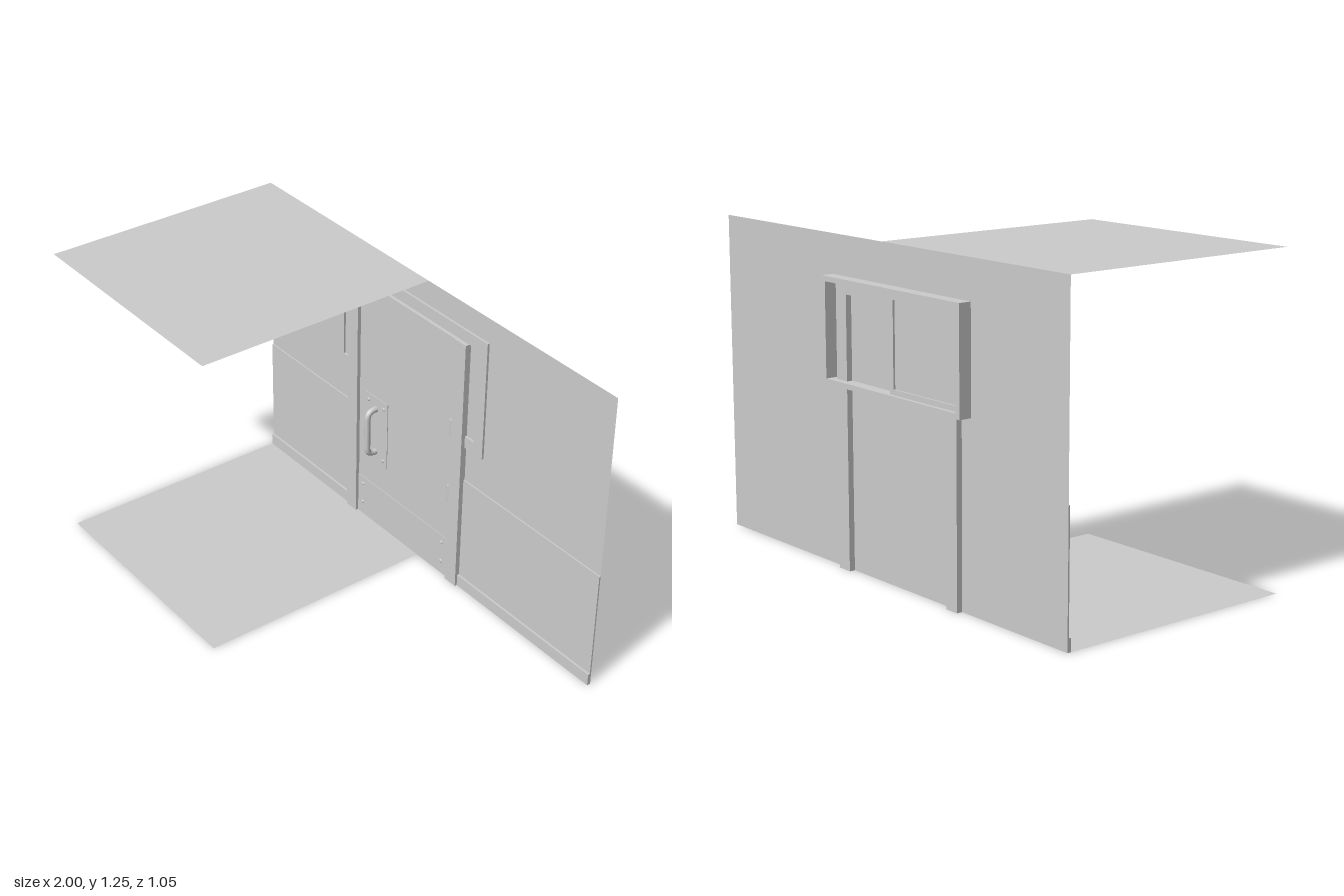
import * as THREE from 'three';

const WALL_Z = -0.475;

export function createModel() {
  const model = new THREE.Group();
  const grey = new THREE.MeshStandardMaterial({ color: 0xcccccc });
  const greyThin = new THREE.MeshStandardMaterial({ color: 0xcccccc, side: THREE.DoubleSide });

  const add = (name, geometry, material = grey, parent = model) => {
    const mesh = new THREE.Mesh(geometry, material);
    mesh.name = name;
    parent.add(mesh);
    return mesh;
  };
  // Box given by its limits on each axis
  const box = (name, x0, x1, y0, y1, z0, z1, parent = model) => {
    const mesh = add(name, new THREE.BoxGeometry(x1 - x0, y1 - y0, z1 - z0), grey, parent);
    mesh.position.set((x0 + x1) / 2, (y0 + y1) / 2, (z0 + z1) / 2);
    return mesh;
  };
  const rectangle = (target, x0, x1, y0, y1) =>
    target.moveTo(x0, y0).lineTo(x1, y0).lineTo(x1, y1).lineTo(x0, y1).closePath();
  // Rectangular frame with an even border
  const frame = (name, x0, x1, y0, y1, border, z0, z1, parent = model) => {
    const shape = rectangle(new THREE.Shape(), x0, x1, y0, y1);
    shape.holes.push(rectangle(new THREE.Path(), x0 + border, x1 - border, y0 + border, y1 - border));
    const geometry = new THREE.ExtrudeGeometry(shape, { depth: z1 - z0, bevelEnabled: false });
    const mesh = add(name, geometry, grey, parent);
    mesh.position.z = z0;
    return mesh;
  };

  // Wall, floor and ceiling sheets
  add('wall', new THREE.PlaneGeometry(2, 1.25), greyThin).position.set(0, 0.625, WALL_Z);
  for (const [name, y] of [['floor', 0], ['ceiling', 1.25]]) {
    const sheet = add(name, new THREE.PlaneGeometry(1, 1), greyThin);
    sheet.rotation.x = -Math.PI / 2;
    sheet.position.set(-0.5, y, 0.025);
  }

  // Wainscot and skirting on both sides of the doorway
  for (const [x0, x1] of [[-1, -0.45], [0.25, 1]]) {
    box('wainscot', x0, x1, 0, 0.5, WALL_Z, -0.469);
    box('skirting', x0, x1, 0, 0.05, WALL_Z, -0.46);
  }

  // Door frame, standing through the wall
  box('rightJamb', -0.45, -0.39, 0, 1.1, -0.498, -0.45);
  box('leftJamb', 0.188, 0.25, 0, 1.1, -0.498, -0.45);
  box('doorHeader', -0.39, 0.188, 1.04, 1.1, -0.498, -0.452);

  // Door leaf with its plates
  const door = new THREE.Group();
  door.name = 'door';
  model.add(door);
  box('doorLeaf', -0.386, 0.184, 0.002, 1.035, WALL_Z, -0.462, door);
  box('kickPlate', -0.386, 0.184, 0.002, 0.184, -0.462, -0.459, door);
  box('handlePlate', -0.35, -0.205, 0.3, 0.605, -0.462, -0.459, door);

  // Domed screws on the plates
  const dome = new THREE.SphereGeometry(0.008, 14, 6, 0, Math.PI * 2, 0, Math.PI / 2).rotateX(Math.PI / 2);
  const screws = (xs, ys) => {
    for (const x of xs) for (const y of ys) {
      const screw = add('screw', dome, grey, door);
      screw.position.set(x, y, -0.459);
      screw.scale.z = 0.5;
    }
  };
  screws([-0.326, -0.229], [0.33, 0.575]);
  screws([-0.355, 0.148], [0.06, 0.15]);

  // Bent pull handle
  const v = (y, z) => new THREE.Vector3(-0.277, y, z);
  const path = new THREE.CurvePath();
  const [low, high, back, front, bend] = [0.352, 0.553, -0.461, -0.416, 0.033];
  path.add(new THREE.LineCurve3(v(low, back), v(low, front - bend)));
  path.add(new THREE.QuadraticBezierCurve3(v(low, front - bend), v(low, front), v(low + bend, front)));
  path.add(new THREE.LineCurve3(v(low + bend, front), v(high - bend, front)));
  path.add(new THREE.QuadraticBezierCurve3(v(high - bend, front), v(high, front), v(high, front - bend)));
  path.add(new THREE.LineCurve3(v(high, front - bend), v(high, back)));
  add('handle', new THREE.TubeGeometry(path, 64, 0.0125, 16), grey, door);

  // Hinge barrels
  for (const y of [0.405, 0.705]) {
    add('hinge', new THREE.CylinderGeometry(0.008, 0.008, 0.075, 16), grey, door).position.set(0.18, y, -0.458);
  }

  // Window trim in front, deep window casing behind
  frame('windowTrim', -0.55, 0.35, 0.65, 1.15, 0.05, WALL_Z, -0.466);
  frame('windowCasing', -0.5, 0.3, 0.7, 1.1, 0.02, -0.525, WALL_Z);
  frame('windowSash', -0.48, -0.09, 0.72, 1.08, 0.02, -0.51, -0.498);
  box('windowPane', -0.46, -0.11, 0.74, 1.06, -0.502, -0.499);

  return model;
}
